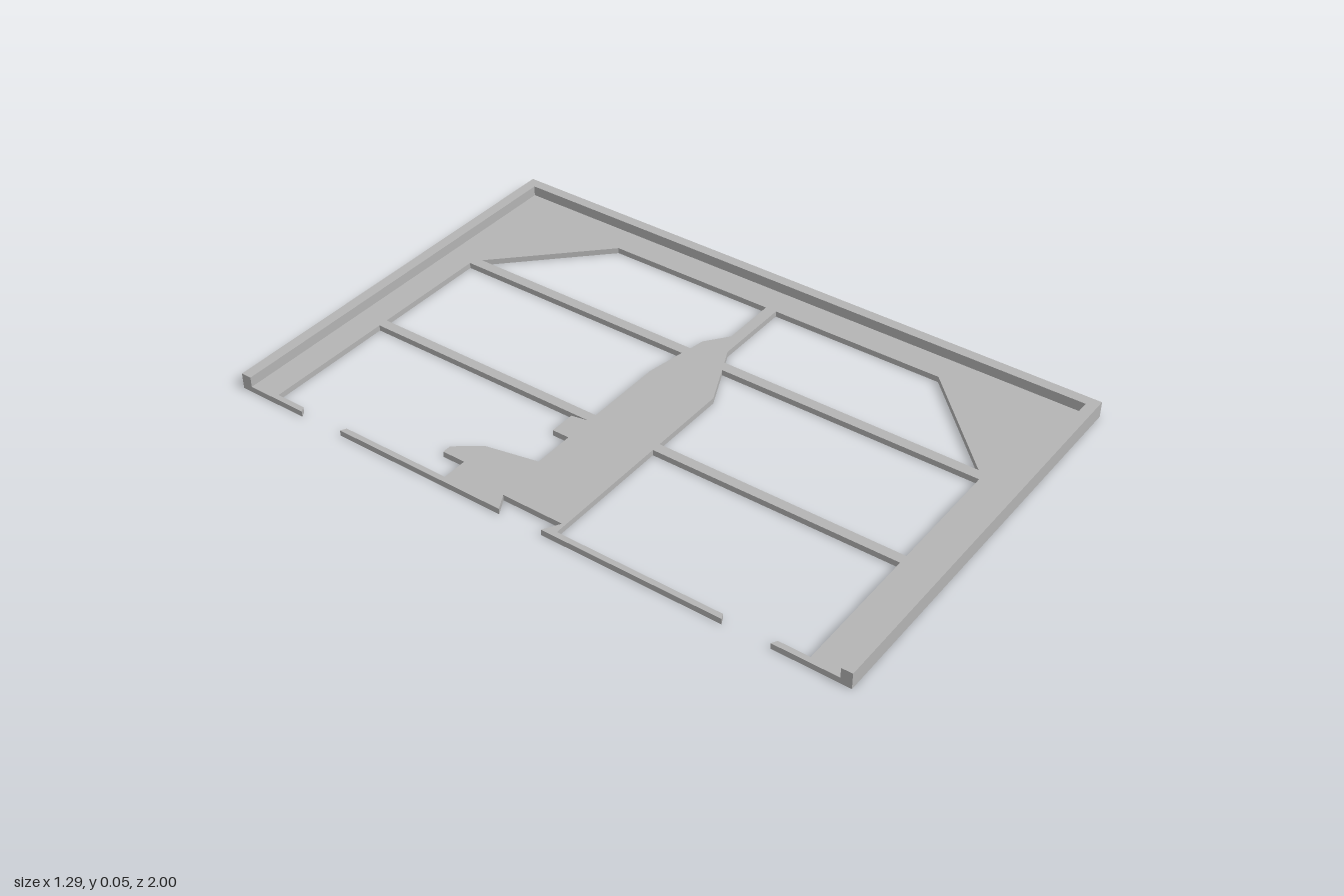
import * as THREE from 'three';

const PLATE = 0.018;   // thickness of the flat plate
const HEIGHT = 0.05;   // full height at the rim

const toPoints = (list) => list.map(([x, z]) => new THREE.Vector2(x, z));

// Extrude an outline drawn in x/z so that it fills y = bottom .. top
function slab(name, outline, holes, bottom, top, material) {
  const shape = new THREE.Shape(toPoints(outline));
  shape.holes = holes.map((h) => new THREE.Path(toPoints(h)));
  const geometry = new THREE.ExtrudeGeometry(shape, { depth: top - bottom, bevelEnabled: false });
  geometry.rotateX(Math.PI / 2);
  geometry.translate(0, top, 0);
  const mesh = new THREE.Mesh(geometry, material);
  mesh.name = name;
  return mesh;
}

export function createModel() {
  const group = new THREE.Group();
  group.name = 'framePanel';
  const grey = new THREE.MeshStandardMaterial({ color: 0xb4b4b4 });
  grey.name = 'grey';

  // Outer edge, with the broken left side and the tail silhouette
  const outline = [
    [-0.645, -1], [0.643, -1], [0.643, 1], [-0.645, 1],
    // front left bay
    [-0.645, 0.77], [-0.628, 0.78], [-0.628, 0.873], [-0.215, 0.873],
    [-0.215, 0.105], [-0.628, 0.105], [-0.628, 0.62], [-0.645, 0.627],
    // notch at the tail end
    [-0.645, 0.066], [-0.595, 0.095], [-0.595, -0.1], [-0.645, -0.073],
    // back left bay: post, fin and cabin bump
    [-0.645, -0.632], [-0.628, -0.623], [-0.628, -0.272], [-0.55, -0.272],
    [-0.55, -0.345], [-0.522, -0.345], [-0.466, -0.272], [-0.433, -0.112],
    [-0.305, -0.112], [-0.305, -0.165], [-0.225, -0.165], [-0.215, -0.115],
    [-0.215, -0.88], [-0.628, -0.88], [-0.628, -0.785], [-0.645, -0.775],
  ];

  // Closed bays between the cross bars, body and border
  const holes = [
    [[-0.184, -0.88], [0.19, -0.88], [0.19, -0.09], [0.068, -0.112], [-0.184, -0.112]],
    [[-0.184, 0.105], [0.068, 0.105], [0.19, 0.05], [0.19, 0.873], [-0.184, 0.873]],
    [[0.223, -0.86], [0.52, -0.565], [0.52, -0.022], [0.34, -0.022], [0.27, -0.075], [0.223, -0.083]],
    [[0.223, 0.035], [0.27, 0.013], [0.52, 0.013], [0.52, 0.56], [0.223, 0.853]],
  ];
  group.add(slab('plate', outline, holes, 0, PLATE, grey));

  // Raised rim on three sides, open on the left
  const rim = [
    [-0.645, -1], [0.643, -1], [0.643, 1], [-0.645, 1],
    [-0.645, 0.967], [0.61, 0.967], [0.61, -0.967], [-0.645, -0.967],
  ];
  group.add(slab('rim', rim, [], PLATE, HEIGHT, grey));

  return group;
}
